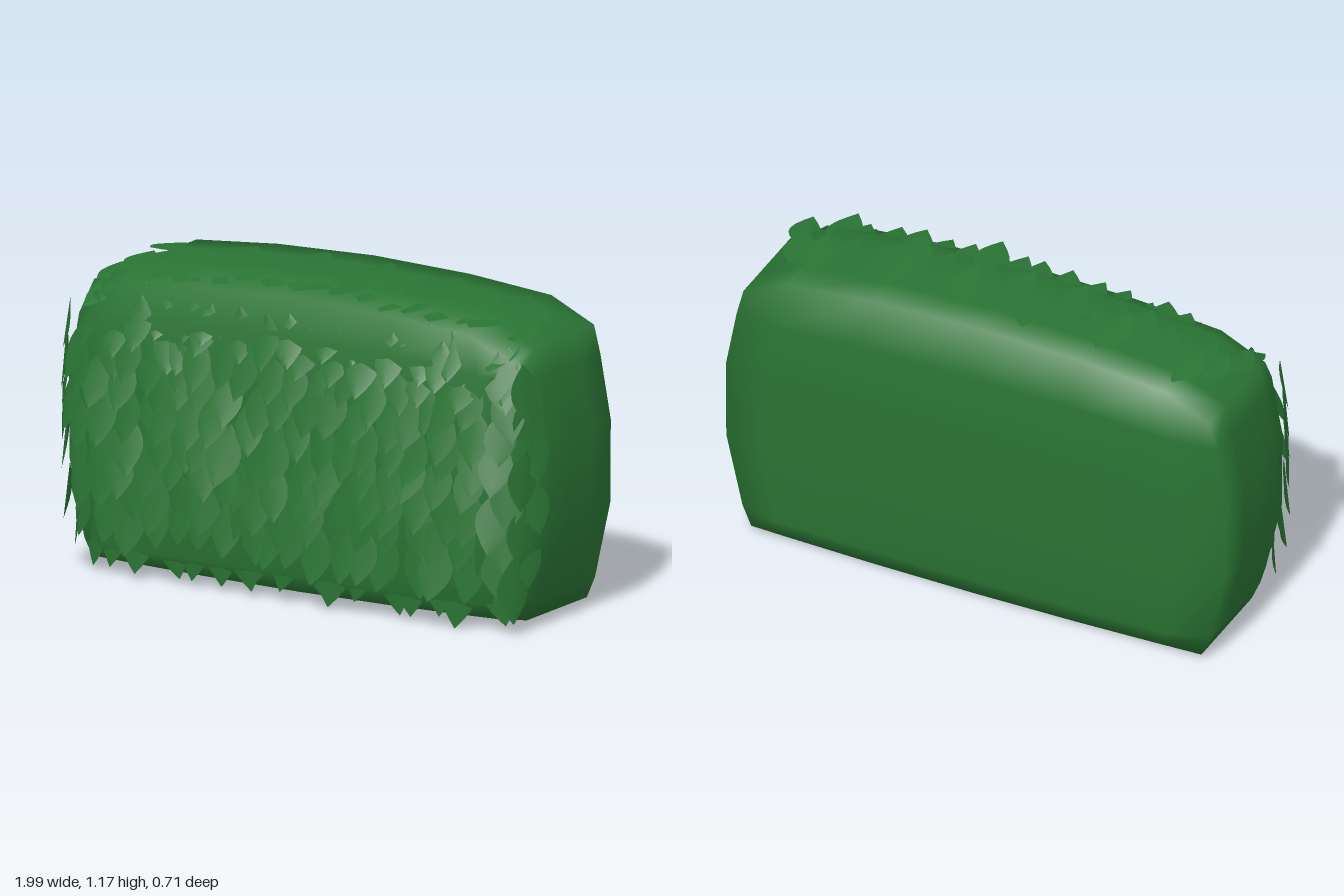
import * as THREE from 'three';
import { mergeGeometries, mergeVertices } from 'three/addons/utils/BufferGeometryUtils.js';

// Shared shape rules: half width at a height, and the droop of the top towards the ends
const halfWidth = (y) => 0.99 - 0.33 * (y - 0.57) ** 2;
const droop = (x) => 1 - 0.07 * x * x;

// Small seeded random, returns -1..1
function seeded(seed) {
  return () => {
    seed = (seed * 16807) % 2147483647;
    return (seed / 2147483647) * 2 - 1;
  };
}

// Soft block: a gridded box with the rims of its front, back and upper ends pulled in
function bodyGeometry() {
  const X = [-1, -0.83, -0.45, 0, 0.45, 0.83, 1];
  const Y = [0, 0.1, 0.4, 0.72, 0.96, 1.13];
  const Z = [-0.31, -0.18, -0.05, 0.08, 0.18];
  let geo = new THREE.BoxGeometry(2, 2, 2, 6, 5, 4);
  geo.deleteAttribute('uv');
  geo.deleteAttribute('normal');
  geo = mergeVertices(geo);
  const p = geo.attributes.position;
  for (let n = 0; n < p.count; n++) {
    const i = Math.round((p.getX(n) + 1) * 3);
    const j = Math.round((p.getY(n) + 1) * 2.5);
    const k = Math.round((p.getZ(n) + 1) * 2);
    const end = i === 0 || i === 6;
    const rim = end || j === 0 || j === 5;
    const x = X[i] * halfWidth(Y[j]) * (k === 4 && rim ? 0.97 : 1) * (end && j === 5 ? 1.03 : 1);
    let y = Y[j] * droop(x);
    if (j === 0) y = 0.02 * x * x + (k === 4 ? 0.02 : 0);
    if (j === 5 && k === 4) y -= 0.05;
    if (j === 5 && end) y -= 0.06;
    let z = Z[k];
    if (!rim && k === 0) z = -0.37 + 0.03 * x * x;
    if (!rim && k === 4) z = 0.265 - 0.03 * x * x;
    p.setXYZ(n, x, y, z);
  }
  geo.computeVertexNormals();
  return geo;
}

// Pointed leaf: root at the origin, tip down -y, lifting towards +z
function leafGeometry() {
  const geo = new THREE.PlaneGeometry(2, 1, 2, 7);
  const p = geo.attributes.position;
  for (let n = 0; n < p.count; n++) {
    const s = p.getX(n);
    const t = 0.5 - p.getY(n);
    const w = 0.06 * Math.sin(Math.PI * t);
    p.setXYZ(n, s * w, -0.21 * t, 0.008 + 0.05 * t - 0.01 * Math.abs(s) * Math.sin(Math.PI * t));
  }
  geo.computeVertexNormals();
  return geo;
}

function foliageGeometry() {
  const rnd = seeded(4217);
  const leaf = leafGeometry();
  const leaves = [];
  const up = new THREE.Vector3(0, 1, 0);

  // A larger press lays the tip closer to the body
  function place(pos, dir, normal, yaw, press) {
    const Y = dir.clone().negate();
    const X = new THREE.Vector3().crossVectors(Y, normal).normalize();
    const m = new THREE.Matrix4().makeBasis(X, Y, normal);
    const turn = new THREE.Matrix4().makeRotationAxis(up, yaw);
    const wobble = new THREE.Matrix4().makeRotationFromEuler(
      new THREE.Euler(press + 0.07 * rnd(), 0.14 * rnd(), 0.2 * rnd()));
    const size = 1 + 0.1 * rnd();
    m.premultiply(turn).multiply(wobble).scale(new THREE.Vector3(size, size, size));
    m.setPosition(pos);
    leaves.push(leaf.clone().applyMatrix4(m));
  }

  // Rows of overlapping leaves run from the top, over the front edge and down
  const path = new THREE.CatmullRomCurve3(
    [[1.13, -0.23], [1.122, 0], [1.08, 0.15], [0.97, 0.235], [0.6, 0.272], [0.36, 0.268], [0.235, 0.255]]
      .map(([y, z]) => new THREE.Vector3(0, y, z)));
  const rows = 14;
  for (let r = 0; r < rows; r++) {
    const t = r / (rows - 1);
    const c = path.getPointAt(t);
    const d = path.getTangentAt(Math.min(1, t + 0.08));
    const n = new THREE.Vector3().crossVectors(d, new THREE.Vector3(1, 0, 0)).normalize();
    const count = 18 - (r % 2);
    const onTop = c.y > 1.03;
    const press = onTop ? 0.17 : r === rows - 1 ? 0.2 : 0.02;
    for (let i = 0; i < count; i++) {
      if (r === 0 && i % 3 !== 1) continue;
      const u = ((i + 0.5) / count) * 2 - 1 + 0.02 * rnd();
      const x = u * 0.94 * halfWidth(c.y - 0.1);
      const bend = Math.max(0, (Math.abs(u) - 0.8) / 0.2);
      const jitter = onTop || r === rows - 1 ? 0.004 : 0.025;
      const pos = new THREE.Vector3(
        x,
        c.y * (onTop ? droop(x) : 1 - 0.03 * x * x) + jitter * rnd() - (onTop ? 0.025 * bend : 0),
        c.z - (onTop ? 0.01 : 0.03) * x * x - 0.03 * bend + (onTop ? 0.025 * rnd() : 0));
      place(pos, d, n, Math.sign(u) * bend * (onTop ? 0.15 : 0.6), press);
    }
  }

  // Leaves wrapping around the front corners onto the ends
  const down = new THREE.Vector3(0, -1, 0);
  const front = new THREE.Vector3(0, 0, 1);
  for (const side of [-1, 1]) {
    for (let r = 0; r < 8; r++) {
      const y = 0.27 + r * 0.1;
      const x = side * (halfWidth(y - 0.1) - 0.035);
      place(new THREE.Vector3(x, y, 0.18 + 0.025 * rnd()), down, front, side * 1.1, 0.15);
    }
  }
  return mergeGeometries(leaves);
}

export function createModel() {
  const green = new THREE.MeshStandardMaterial({ color: 0x2a7434, side: THREE.DoubleSide });
  green.name = 'hedge green';
  const group = new THREE.Group();
  group.name = 'hedge';
  const body = new THREE.Mesh(bodyGeometry(), green);
  body.name = 'hedgeBody';
  const leaves = new THREE.Mesh(foliageGeometry(), green);
  leaves.name = 'leaves';
  group.add(body, leaves);
  return group;
}
